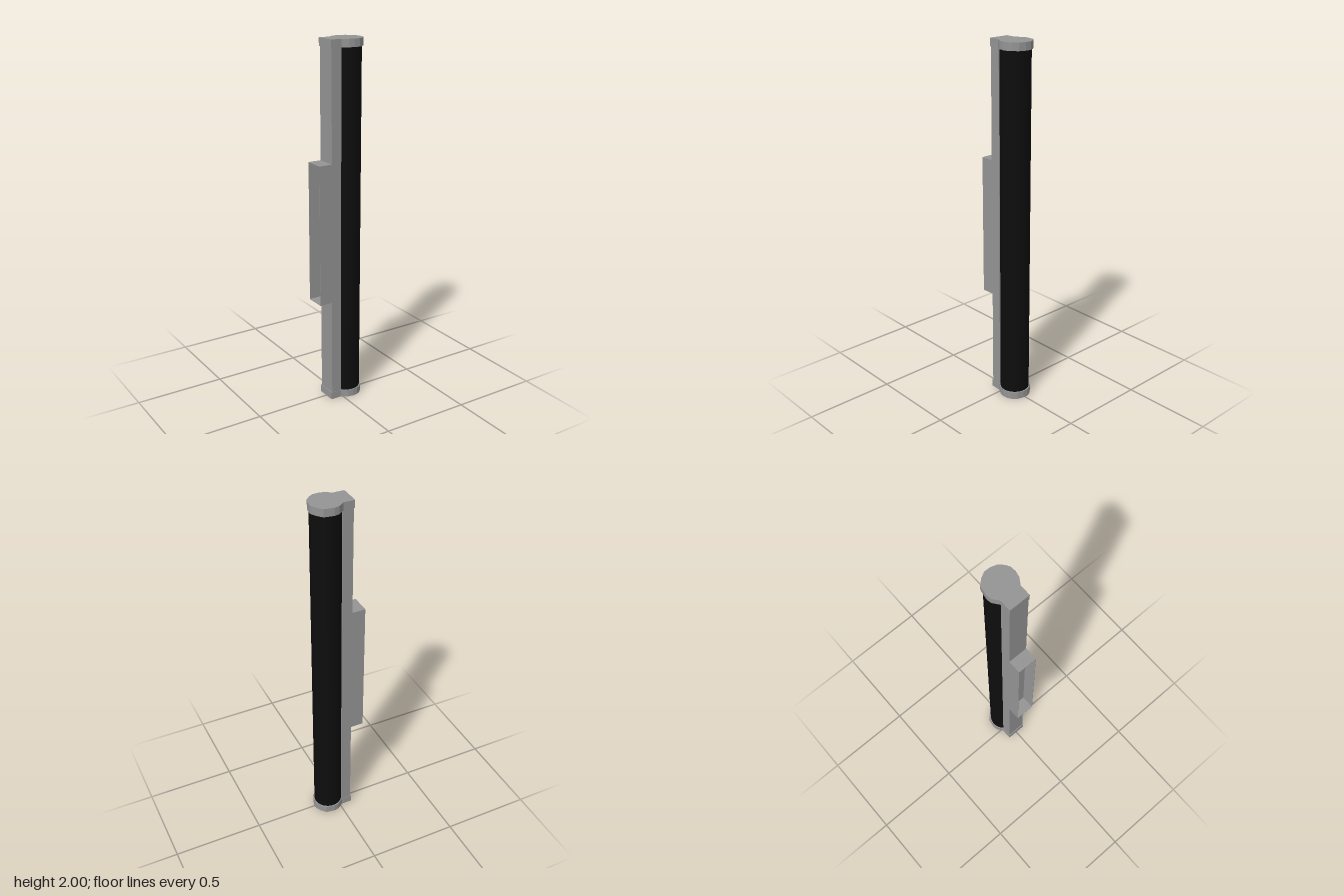
import * as THREE from 'three';

export function createModel() {
  const group = new THREE.Group();
  const grey = new THREE.MeshStandardMaterial({ color: 0x949494 });
  grey.name = 'greyMetal';
  grey.flatShading = true;
  grey.side = THREE.DoubleSide;
  const black = new THREE.MeshStandardMaterial({ color: 0x0d0d0d });
  black.name = 'blackTube';

  function add(name, geometry, material, x, y, z) {
    const mesh = new THREE.Mesh(geometry, material);
    mesh.name = name;
    mesh.position.set(x, y, z);
    group.add(mesh);
    return mesh;
  }

  // Long round tube
  add('tube', new THREE.CylinderGeometry(0.08, 0.08, 1.94, 40), black, 0.054, 1, 0);

  // Straight spine behind the tube
  add('spine', new THREE.BoxGeometry(0.058, 1.94, 0.11), grey, -0.039, 1, 0);

  // Keyhole-shaped end caps with a many-sided round end
  const outline = [
    [-0.073, -0.057], [-0.012, -0.057], [0.022, -0.082], [0.048, -0.087], [0.1, -0.078],
    [0.125, -0.05], [0.141, -0.02], [0.14, 0.012], [0.129, 0.046], [0.105, 0.071],
    [0.083, 0.083], [0.052, 0.085], [0.022, 0.079], [-0.012, 0.057], [-0.073, 0.056],
  ];
  const capShape = new THREE.Shape(outline.map(([x, z]) => new THREE.Vector2(x, -z)));
  const capGeometry = new THREE.ExtrudeGeometry(capShape, { depth: 0.042, bevelEnabled: false });
  capGeometry.rotateX(-Math.PI / 2);
  add('bottomCap', capGeometry, grey, 0, 0, 0);
  add('topCap', capGeometry, grey, 0, 1.958, 0);

  // Wall bracket: a shallow box left open at the wall side
  const low = 0.59, high = 1.365, t = 0.002;
  for (const side of [-1, 1]) {
    add(side > 0 ? 'bracketFront' : 'bracketBack',
      new THREE.BoxGeometry(0.08, high - low, t), grey, -0.102, (low + high) / 2, side * (0.055 - t / 2));
    add(side > 0 ? 'bracketTop' : 'bracketBottom',
      new THREE.BoxGeometry(0.08, t, 0.11), grey, -0.102, side > 0 ? high - t / 2 : low + t / 2, 0);
  }
  return group;
}
